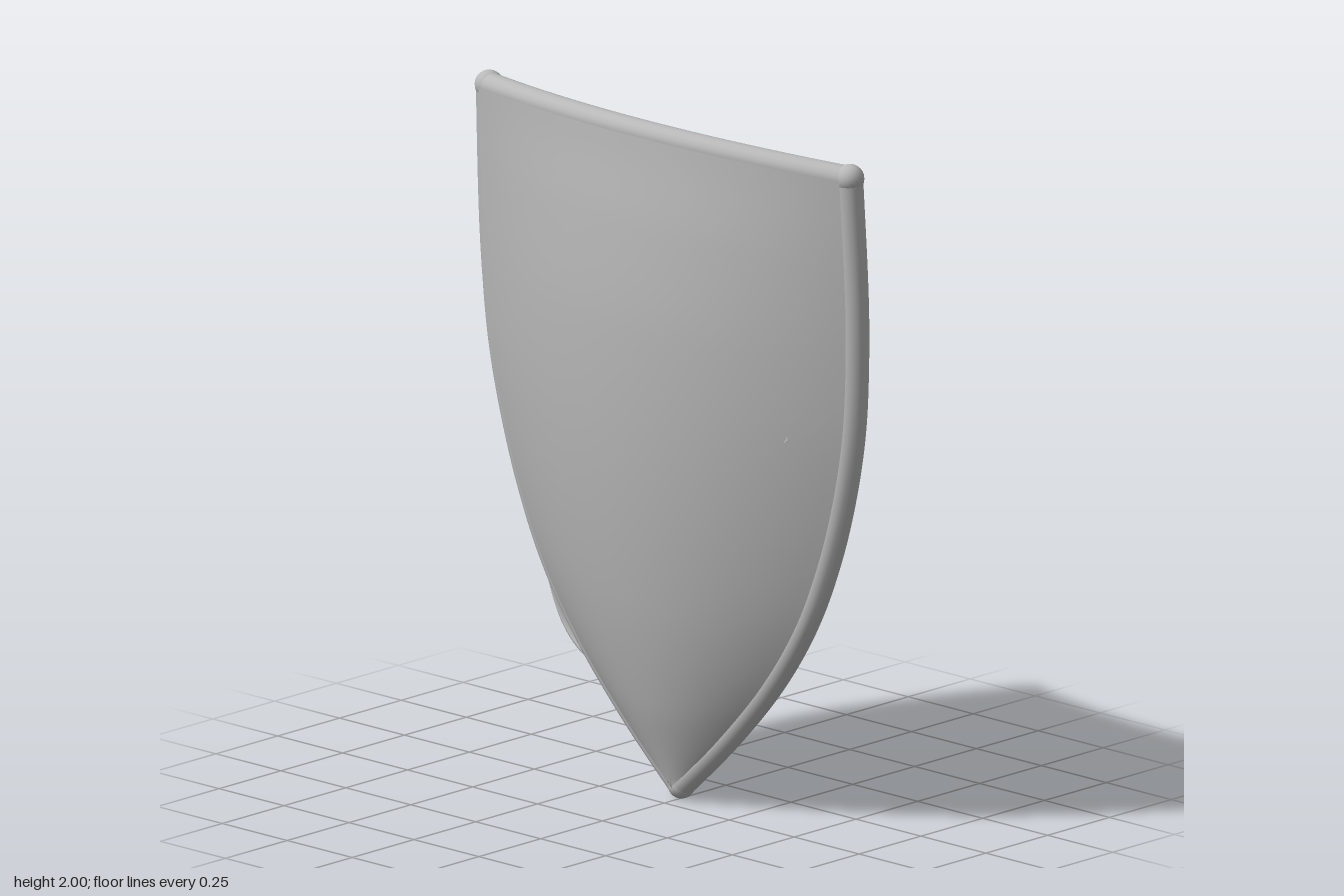
import * as THREE from 'three';
import { RoundedBoxGeometry } from 'three/addons/geometries/RoundedBoxGeometry.js';

const V = (x, y, z) => new THREE.Vector3(x, y, z);

// Smooth interpolation through [y, value] pairs
function profile(pts) {
  const n = pts.length;
  const slope = (i) => {
    const a = pts[Math.max(i - 1, 0)], b = pts[Math.min(i + 1, n - 1)];
    return (b[1] - a[1]) / (b[0] - a[0]);
  };
  return (y) => {
    let i = 0;
    while (i < n - 2 && y > pts[i + 1][0]) i++;
    const [y0, p0] = pts[i], [y1, p1] = pts[i + 1], h = y1 - y0;
    const t = Math.min(Math.max((y - y0) / h, 0), 1), t2 = t * t, t3 = t2 * t;
    return (2 * t3 - 3 * t2 + 1) * p0 + (t3 - 2 * t2 + t) * h * slope(i)
      + (3 * t2 - 2 * t3) * p1 + (t3 - t2) * h * slope(i + 1);
  };
}

const Y0 = 0.04, Y1 = 1.963, RIM = 0.037;
const halfWidth = profile([[0.04, 0], [0.2, 0.17], [0.4, 0.35], [0.6, 0.484], [0.8, 0.573],
  [1, 0.635], [1.2, 0.676], [1.4, 0.694], [1.6, 0.7], [1.97, 0.694]]);
const centreZ = profile([[0, -0.045], [0.1, -0.012], [0.3, 0.055], [0.6, 0.12], [1, 0.166],
  [1.4, 0.178], [1.7, 0.16], [1.9, 0.135], [1.97, 0.128]]);
const edgeZ = profile([[0, -0.07], [0.5, -0.065], [1, -0.058], [1.5, -0.042], [1.97, -0.02]]);

// Panel faces: u runs -1..1 across; the front lies flush with the rim
const FLUSH = 0.042;
const frontAt = (u, y) => {
  const e = edgeZ(y) + FLUSH;
  return e + (centreZ(y) - e) * (1 - u * u);
};
const backAt = (u, y) => frontAt(u, y) - 0.06;
const backZ = (x, y) => backAt(Math.max(-1, Math.min(1, x / halfWidth(y))), y);
const dropTop = (u, v) => 0.02 * u * u * v ** 8;

function panelGeometry(zAt, facesFront) {
  const nu = 40, nv = 64, pos = [], idx = [];
  for (let j = 0; j <= nv; j++) for (let i = 0; i <= nu; i++) {
    const u = (i / nu) * 2 - 1, v = j / nv, y = Y0 + v * (Y1 - Y0);
    pos.push(u * halfWidth(y), y - dropTop(u, v), zAt(u, y));
    if (i < nu && j < nv) {
      const a = j * (nu + 1) + i, b = a + 1, c = a + nu + 1, d = c + 1;
      idx.push(...(facesFront ? [a, b, c, b, d, c] : [a, c, b, b, c, d]));
    }
  }
  return finish(pos, idx);
}

function finish(pos, idx) {
  const g = new THREE.BufferGeometry();
  g.setAttribute('position', new THREE.Float32BufferAttribute(pos, 3));
  g.setIndex(idx);
  g.computeVertexNormals();
  return g;
}

// Flat band with rounded edges swept along a curve; across = direction of its width
function bandGeometry(points, across, width, thick, steps = 60) {
  const curve = new THREE.CatmullRomCurve3(points, false, 'centripetal');
  const n = 16, pos = [], idx = [];
  const round = (c) => Math.sign(c) * Math.abs(c) ** 0.5;
  for (let i = 0; i <= steps; i++) {
    const p = curve.getPointAt(i / steps), t = curve.getTangentAt(i / steps);
    const w = across.clone().addScaledVector(t, -across.dot(t)).normalize();
    const nrm = t.clone().cross(w);
    for (let j = 0; j < n; j++) {
      const a = (j / n) * Math.PI * 2;
      const q = p.clone().addScaledVector(w, round(Math.cos(a)) * width / 2)
        .addScaledVector(nrm, round(Math.sin(a)) * thick / 2);
      pos.push(q.x, q.y, q.z);
      if (i < steps) {
        const k = (j + 1) % n, r = i * n, s = r + n;
        idx.push(r + j, r + k, s + j, r + k, s + k, s + j);
      }
    }
  }
  const last = steps * n;
  for (let j = 1; j < n - 1; j++) idx.push(0, j + 1, j, last, last + j, last + j + 1);
  return finish(pos, idx);
}

export function createModel() {
  const group = new THREE.Group();
  const grey = new THREE.MeshStandardMaterial({ color: 0xb8b8b8 });
  grey.name = 'plain grey';
  const add = (name, geometry, at) => {
    const m = new THREE.Mesh(geometry, grey);
    m.name = name;
    if (at) m.position.copy(at);
    group.add(m);
    return m;
  };

  // Curved shield panel
  add('panelFront', panelGeometry(frontAt, true));
  add('panelBack', panelGeometry(backAt, false));

  // Rolled rim with rounded corners
  const tube = (pts) => new THREE.TubeGeometry(new THREE.CatmullRomCurve3(pts), 80, RIM, 16);
  const ball = (r) => new THREE.SphereGeometry(r, 20, 14);
  for (const s of [-1, 1]) {
    const side = [];
    for (let i = 0; i <= 24; i++) {
      const y = Y0 + (i / 24) * (1.943 - Y0);
      side.push(V(s * halfWidth(y), y, edgeZ(y)));
    }
    add(s > 0 ? 'leftRim' : 'rightRim', tube(side));
    add('rimCorner', ball(0.041), V(s * 0.694, 1.945, edgeZ(1.945)));
  }
  const top = [];
  for (let i = 0; i <= 20; i++) {
    const u = i / 10 - 1;
    top.push(V(u * 0.694, Y1 - 0.02 * u * u, frontAt(u, Y1) - FLUSH));
  }
  add('topRim', tube(top));
  add('rimTip', ball(0.039), V(0, Y0, -0.07));

  // Slanted arm grip: U runs across the arm, A along it
  const U = V(0.84, 0.54, 0), A = V(-0.54, 0.84, 0);
  const onBack = (c, t, h) => {
    const x = c[0] + U.x * t, y = c[1] + U.y * t;
    return V(x, y, backZ(x, y) - h);
  };
  const arch = [[-0.32, 0.005], [-0.25, 0.015], [-0.23, 0.07], [-0.19, 0.125], [-0.09, 0.15],
    [0.09, 0.15], [0.19, 0.125], [0.23, 0.07], [0.25, 0.015], [0.31, 0.005]];
  const grips = [
    { name: 'upperArmStrap', c: [-0.025, 1.58], lift: 1.08, width: 0.19, wall: 0.03, path: arch },
    { name: 'lowerArmStrap', c: [0.29, 1.09], lift: 0.88, width: 0.16, wall: -0.065,
      path: arch.slice(1, -1) },
  ];
  for (const { name, c, lift, width, wall, path } of grips) {
    add(name, bandGeometry(path.map(([t, h]) => onBack(c, t, h * lift)), A, width, 0.035));

    // Raised welt along the middle of the strap
    add('strapWelt', bandGeometry(
      arch.slice(3, 7).map(([t, h]) => onBack(c, t, h * lift + 0.012)), A, 0.08, 0.02, 24));

    // Wall closing the outer end of the strap
    const outline = arch.slice(1, -1).map(([t, h]) =>
      new THREE.Vector2(t, -onBack(c, t, h * lift).z));
    const shape = new THREE.Shape([new THREE.Vector2(-0.25, -0.13),
      new THREE.Vector2(0.25, -0.06)]);
    outline.reverse().forEach((p) => shape.lineTo(p.x, p.y));
    const g = new THREE.ExtrudeGeometry(shape, { depth: 0.035, bevelEnabled: false });
    g.applyMatrix4(new THREE.Matrix4().makeBasis(U, V(0, 0, -1), A));
    add('strapWall', g, V(c[0], c[1], 0).addScaledVector(A, wall));
  }

  // Padded cushion under the straps
  const cushion = [];
  for (const t of [-0.2, -0.185, -0.11, 0, 0.11, 0.185, 0.2]) {
    cushion.push(onBack([0.135, 1.335], t, 0.11 * Math.sqrt(1 - (t / 0.202) ** 2)));
  }
  add('armCushion', bandGeometry(cushion, A, 0.56, 0.035));

  // Belt running from the lower arm strap through the buckle
  const belt = [[0.14, 0.99, 0.03], [0.07, 0.92, 0.04], [-0.04, 0.81, 0.05],
    [-0.1, 0.755, 0.03], [-0.145, 0.715, 0.01]].map(([x, y, h]) => V(x, y, backZ(x, y) - h));
  add('belt', bandGeometry(belt, V(0.7, -0.72, 0), 0.105, 0.03, 30));
  const buckle = add('buckle', new RoundedBoxGeometry(0.12, 0.17, 0.11, 4, 0.025),
    V(-0.045, 0.805, 0.035));
  buckle.rotation.z = 0.75;

  // Long carrying strap hanging in a loop past the right edge
  const strap = [V(-0.05, 0.8, 0), V(-0.1, 0.735, -0.06), V(-0.14, 0.6, -0.09),
    V(-0.2, 0.44, -0.115), V(-0.28, 0.345, -0.13), V(-0.37, 0.322, -0.135),
    V(-0.47, 0.39, -0.14), V(-0.54, 0.53, -0.142), V(-0.567, 0.7, -0.136),
    V(-0.563, 0.95, -0.122), V(-0.547, 1.3, -0.1), V(-0.53, 1.67, -0.075)];
  add('carryingStrap', bandGeometry(strap, V(0.45, -0.18, -0.88), 0.07, 0.014, 140));

  // Strap ring and its mount
  const ring = add('strapRing', new THREE.TorusGeometry(0.032, 0.013, 10, 24), V(-0.525, 1.74, -0.075));
  ring.rotation.y = Math.PI / 2 + 0.35;
  add('strapEnd', new RoundedBoxGeometry(0.05, 0.06, 0.05, 3, 0.015), V(-0.53, 1.68, -0.075));
  const z = backZ(-0.52, 1.78);
  add('ringMount', bandGeometry([V(-0.52, 1.85, z + 0.012), V(-0.52, 1.81, z - 0.01),
    V(-0.522, 1.785, -0.03), V(-0.524, 1.765, -0.06)], V(1, 0, 0), 0.07, 0.03, 20));
  return group;
}
